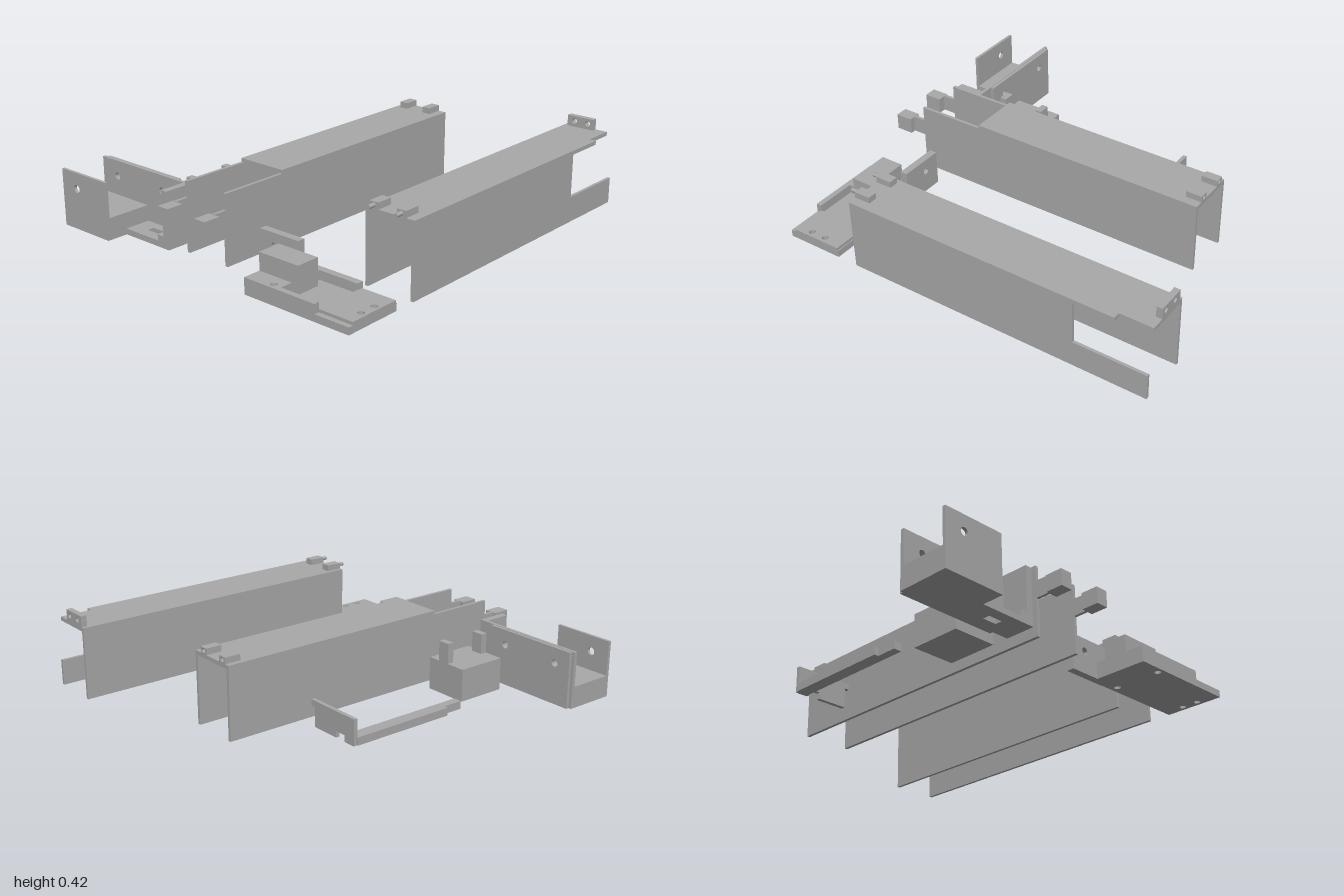
import * as THREE from 'three';

const grey = new THREE.MeshStandardMaterial({ color: 0xa8a8a8 });
grey.name = 'plainGrey';

// Axis-aligned block given by its limits
function block(parent, name, x0, x1, y0, y1, z0, z1) {
  const m = new THREE.Mesh(new THREE.BoxGeometry(x1 - x0, y1 - y0, z1 - z0), grey);
  m.position.set((x0 + x1) / 2, (y0 + y1) / 2, (z0 + z1) / 2);
  m.name = name;
  parent.add(m);
  return m;
}

// Flat plate from an outline, with round holes [u, v, radius] or a rectangular cut-out [u0, u1, v0, v1].
// axis x: outline in (z, y); axis y: outline in (x, -z); axis z: outline in (x, y)
function plate(parent, name, axis, a0, a1, outline, holes = []) {
  const s = new THREE.Shape(outline.map(p => new THREE.Vector2(...p)));
  for (const h of holes) {
    const path = new THREE.Path();
    if (h.length === 3) path.absarc(h[0], h[1], h[2], 0, Math.PI * 2, true);
    else path.moveTo(h[0], h[2]).lineTo(h[0], h[3]).lineTo(h[1], h[3]).lineTo(h[1], h[2]);
    s.holes.push(path);
  }
  const g = new THREE.ExtrudeGeometry(s, { depth: a1 - a0, bevelEnabled: false, curveSegments: 10 });
  if (axis === 'x') g.rotateY(-Math.PI / 2).translate(a1, 0, 0);
  else if (axis === 'y') g.rotateX(-Math.PI / 2).translate(0, a0, 0);
  else g.translate(0, 0, a0);
  const m = new THREE.Mesh(g, grey);
  m.name = name;
  parent.add(m);
  return m;
}

const rect = (u0, u1, v0, v1) => [[u0, v0], [u1, v0], [u1, v1], [u0, v1]];

function section(root, name) {
  const g = new THREE.Group();
  g.name = name;
  root.add(g);
  return g;
}

// Front cover: inverted channel with an open corner window
function frontCover(root) {
  const g = section(root, 'frontCover');
  plate(g, 'roof', 'y', 0.345, 0.365,
    [[-0.59, -0.905], [0.835, -0.905], [0.835, -0.87], [1, -0.87], [1, -0.642], [-0.59, -0.642]]);
  plate(g, 'frontWall', 'z', 0.89, 0.905,
    [[-0.59, 0], [1, 0], [1, 0.13], [0.63, 0.13], [0.63, 0.345], [-0.59, 0.345]]);
  block(g, 'backWall', -0.59, 1, 0, 0.345, 0.642, 0.657);
  plate(g, 'endTab', 'x', 0.97, 1, rect(0.66, 0.805, 0.365, 0.42),
    [[0.7, 0.394, 0.014], [0.775, 0.394, 0.014]]);
  for (const z of [0.687, 0.835]) {
    block(g, 'pinBlock', -0.59, -0.507, 0.365, 0.396, z - 0.024, z + 0.024);
    const pin = new THREE.Mesh(new THREE.CylinderGeometry(0.01, 0.01, 0.04, 14), grey);
    pin.rotation.z = Math.PI / 2;
    pin.position.set(-0.607, 0.381, z);
    pin.name = 'pin';
    g.add(pin);
  }
}

// Middle cover: inverted channel with arms and end clips
function middleCover(root) {
  const g = section(root, 'middleCover');
  block(g, 'roof', -0.49, 0.745, 0.345, 0.365, -0.207, 0.057);
  const walls = [[0.041, 0.057, 0.02, 0.085], [-0.207, -0.191, -0.217, -0.152]];
  for (const [z0, z1, c0, c1] of walls) {
    block(g, 'wall', -0.845, 0.745, 0, 0.347, z0, z1);
    block(g, 'arm', -0.915, -0.845, 0.185, 0.27, z0, z1);
    block(g, 'clip', -1, -0.912, 0.185, 0.267, c0, c1);
  }
  for (const z of [-0.01, -0.158]) {
    plate(g, 'socket', 'x', 0.69, 0.745, rect(z - 0.023, z + 0.023, 0.365, 0.396), [[z, 0.381, 0.012]]);
    block(g, 'socketBack', 0.663, 0.69, 0.365, 0.396, z - 0.023, z + 0.023);
  }
}

// Rear bracket: open tray with drilled walls and a slotted foot
function rearBracket(root) {
  const g = section(root, 'rearBracket');
  block(g, 'trayFloor', -0.99, -0.755, 0, 0.11, -0.905, -0.585);
  plate(g, 'outerWall', 'x', -1, -0.985, rect(-0.905, -0.585, 0, 0.287), [[-0.8, 0.207, 0.02]]);
  const holes = [[-0.8, 0.207, 0.018], [-0.475, 0.207, 0.018]];
  plate(g, 'innerWall', 'x', -0.755, -0.738, rect(-0.905, -0.285, 0, 0.287), holes);
  plate(g, 'wallFacing', 'x', -0.738, -0.722, rect(-0.89, -0.375, 0, 0.285), holes);
  plate(g, 'foot', 'y', 0, 0.03, rect(-0.89, -0.755, 0.285, 0.585), [[-0.835, -0.8, 0.42, 0.495]]);
  block(g, 'footLip', -0.89, -0.755, 0.03, 0.287, -0.32, -0.285);
  block(g, 'footStep', -0.89, -0.755, 0.03, 0.06, -0.36, -0.32);
}

// Spacer block with two upright tabs
function spacer(root) {
  const g = section(root, 'spacer');
  block(g, 'body', -0.655, -0.395, 0, 0.165, -0.513, -0.285);
  block(g, 'tab', -0.655, -0.62, 0.165, 0.267, -0.41, -0.347);
  block(g, 'tab', -0.43, -0.395, 0.165, 0.267, -0.41, -0.347);
}

// Long lever: thin bar with an upright end plate
function lever(root) {
  const g = section(root, 'lever');
  block(g, 'bar', -0.225, 0.325, 0, 0.04, -0.595, -0.53);
  block(g, 'barTip', -0.33, -0.225, 0, 0.04, -0.573, -0.53);
  plate(g, 'endPlate', 'x', 0.325, 0.345,
    [[-0.59, 0], [-0.525, 0], [-0.525, 0.032], [-0.465, 0.032], [-0.465, 0],
      [-0.31, 0], [-0.31, 0.1], [-0.285, 0.1], [-0.285, 0.13], [-0.59, 0.13]]);
}

// Base mount: drilled plate with side rims, a raised box and a drilled upright
function baseMount(root) {
  const g = section(root, 'baseMount');
  const rear = [[-0.97, -0.465, 0.016], [-0.735, -0.465, 0.016]];
  const front = [[-0.89, -0.875, 0.016], [-0.807, -0.875, 0.016]];
  plate(g, 'basePlate', 'y', 0, 0.035, rect(-1, -0.7, -0.905, -0.32), [...rear, ...front]);
  plate(g, 'frontStep', 'y', 0.035, 0.05, rect(-0.975, -0.705, -0.905, -0.72), front);
  plate(g, 'rearStep', 'y', 0.035, 0.08, rect(-1, -0.7, -0.51, -0.32), rear);
  block(g, 'rim', -1, -0.972, 0.035, 0.08, 0.51, 0.722);
  block(g, 'rim', -0.735, -0.7, 0.035, 0.08, 0.51, 0.722);
  block(g, 'raisedBox', -0.908, -0.787, 0.035, 0.167, 0.32, 0.547);
  plate(g, 'upright', 'x', -0.735, -0.697, rect(0.153, 0.387, 0, 0.18), [[0.24, 0.115, 0.018]]);
}

export function createModel() {
  const root = new THREE.Group();
  root.name = 'coverPartsSet';
  [frontCover, middleCover, rearBracket, spacer, lever, baseMount].forEach(build => build(root));
  return root;
}
